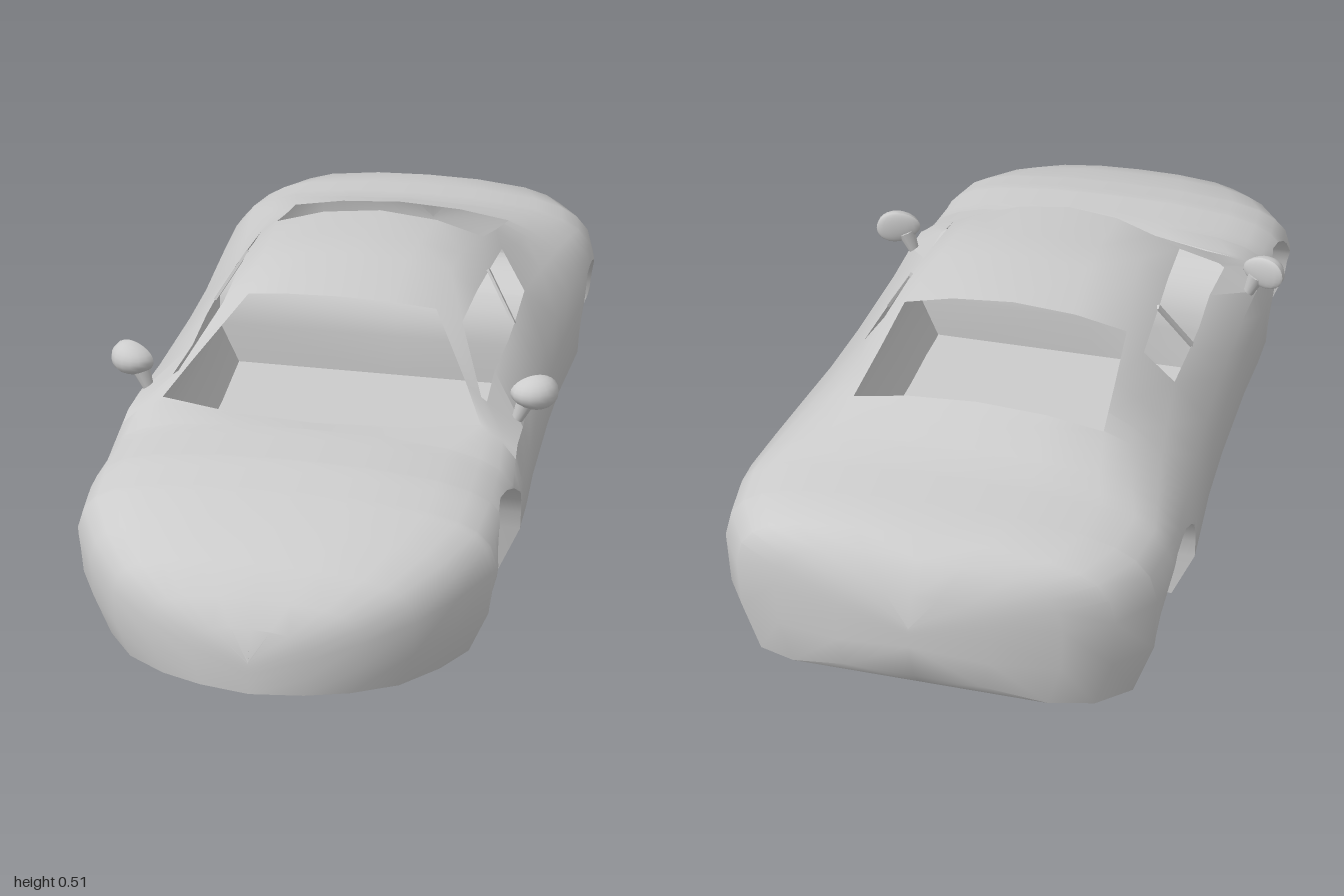
import * as THREE from 'three';
import { toCreasedNormals } from 'three/addons/utils/BufferGeometryUtils.js';

const V = (x, y, z) => new THREE.Vector3(x, y, z);
const paint = new THREE.MeshStandardMaterial({ color: 0xcccccc, side: THREE.DoubleSide });

// Front and rear sections: z, half width, top height, bottom height
const nose = [
  [1, 0, 0.11, 0.04], [0.978, 0.11, 0.165, 0.035], [0.945, 0.2, 0.21, 0.03], [0.885, 0.29, 0.25, 0.02],
  [0.8, 0.36, 0.28, 0.012], [0.7, 0.415, 0.303, 0.004], [0.6, 0.425, 0.32, 0], [0.47, 0.425, 0.325, 0],
];
const tail = [
  [-0.72, 0.445, 0.376, 0], [-0.82, 0.428, 0.367, 0.008], [-0.91, 0.37, 0.357, 0.035],
  [-0.95, 0.28, 0.335, 0.05], [-0.978, 0.15, 0.27, 0.085], [-1, 0, 0.21, 0.15],
];
// Cabin sections: z, half width, centre height, then x and y of opening edge, window top, beltline
const cabin = [
  [0.37, 0.42, 0.32, 0.33, 0.318, 0.35, 0.312, 0.375, 0.3],
  [0.29, 0.42, 0.38, 0.287, 0.368, 0.318, 0.341, 0.33, 0.332],
  [0.15, 0.415, 0.492, 0.2, 0.466, 0.255, 0.442, 0.325, 0.336],
  [0, 0.415, 0.513, 0.205, 0.49, 0.262, 0.448, 0.333, 0.341],
  [-0.1, 0.415, 0.515, 0.212, 0.491, 0.268, 0.446, 0.334, 0.345],
  [-0.265, 0.42, 0.505, 0.235, 0.465, 0.275, 0.432, 0.333, 0.35],
  [-0.4, 0.43, 0.465, 0.245, 0.43, 0.29, 0.397, 0.35, 0.34],
  [-0.54, 0.44, 0.425, 0.255, 0.398, 0.31, 0.375, 0.37, 0.333],
  [-0.66, 0.447, 0.387, 0.275, 0.372, 0.34, 0.353, 0.39, 0.325],
];

// Rounded section running from the top centre down to the sill
const across = [0, 0.34, 0.66, 0.81, 0.9, 0.965, 1, 0.99, 0.9];
const down = [0, 0.01, 0.05, 0.1, 0.16, 0.25, 0.4, 0.7, 1];
const endSection = ([z, w, top, bottom]) => ({
  z, pts: across.map((f, j) => V(f * w, top - down[j] * (top - bottom), 0)),
});

// Cabin section; the z part of each point bows the glass edges
const bow = { 0.37: 0.06, 0.29: 0.045, 0.15: 0.035, '-0.265': -0.012 };
function cabinSection([z, w, top, ex, ey, rx, ry, bx, by]) {
  const d = bow[z] ?? 0, rear = z === -0.265 ? 0.018 : 0;
  return { z, pts: [
    V(0, top, d), V(ex * 0.55, top - (top - ey) * 0.3, d * 0.7), V(ex, ey, 0), V(rx, ry, -rear), V(bx, by, rear),
    V(w - 0.015, 0.282, 0), V(w, 0.225, 0), V(w - 0.003, 0.1, 0), V(w * 0.89, 0, 0),
  ] };
}

const keys = [...nose.map(endSection), ...cabin.map(cabinSection), ...tail.map(endSection)];

function sectionAt(z) {
  let i = 0;
  while (i < keys.length - 2 && z < keys[i + 1].z) i++;
  const a = keys[i], b = keys[i + 1], t = (a.z - z) / (a.z - b.z);
  return a.pts.map((p, j) => p.clone().lerp(b.pts[j], t));
}

// Wheel arches: elliptical tops over short upright walls
const R = 0.165, arches = [0.55, -0.653];
function archHeight(z) {
  for (const c of arches) {
    const d = Math.abs(z - c) / R;
    if (d <= 1.00001) return 0.1 + 0.155 * Math.sqrt(Math.max(0, 1 - d * d));
  }
  return 0;
}

// Lift everything below the arch up to its edge, following the side of the body
function clipSection(pts, h) {
  const k = pts.findIndex((p) => p.y < h);
  if (k < 1) return pts;
  const a = pts[k - 1], b = pts[k];
  const edge = a.clone().lerp(b, (a.y - h) / (a.y - b.y));
  return pts.map((p, j) => (j < k ? p : edge.clone()));
}

function bodyGeometry() {
  const stations = keys.map((k) => ({ z: k.z, h: archHeight(k.z) }));
  for (const c of arches) {
    for (let i = 0; i <= 12; i++) {
      const z = c + R * Math.cos((i / 12) * Math.PI);
      stations.push({ z, h: archHeight(z) });
    }
    stations.push({ z: c + R + 1e-4, h: 0 }, { z: c - R - 1e-4, h: 0 });
  }
  stations.sort((a, b) => b.z - a.z);

  const rows = stations.map(({ z, h }) => {
    const pts = clipSection(sectionAt(z), h);
    pts.forEach((p) => { p.z += z; });
    const sill = pts[pts.length - 1];
    return [...pts, V(0, Math.max(sill.y, h), sill.z)]; // underside centre
  });

  // Windscreen, rear window and side windows stay open
  const open = (z, c) =>
    (c < 2 && ((z < 0.37 && z > 0.15) || (z < -0.265 && z > -0.54))) || (c === 3 && z < 0.29 && z > -0.265);

  const pos = [];
  const tri = (a, b, c) => {
    const area = b.clone().sub(a).cross(c.clone().sub(a)).length();
    if (area < 1e-9) return;
    for (const p of [a, b, c]) pos.push(p.x, p.y, p.z);
    for (const p of [a, c, b]) pos.push(-p.x, p.y, p.z);
  };
  for (let i = 0; i < rows.length - 1; i++) {
    const mid = (stations[i].z + stations[i + 1].z) / 2;
    for (let c = 0; c < rows[i].length - 1; c++) {
      if (open(mid, c)) continue;
      const a = rows[i][c], b = rows[i][c + 1], e = rows[i + 1][c], f = rows[i + 1][c + 1];
      tri(a, b, e);
      tri(b, f, e);
    }
  }
  const geo = new THREE.BufferGeometry();
  geo.setAttribute('position', new THREE.Float32BufferAttribute(pos, 3));
  // Enlarged while creasing so that nearby corners stay distinct
  geo.scale(30, 30, 30);
  const smooth = toCreasedNormals(geo, 0.7);
  smooth.scale(1 / 30, 1 / 30, 1 / 30);
  return smooth;
}

function add(parent, name, geometry) {
  const mesh = new THREE.Mesh(geometry, paint);
  mesh.name = name;
  parent.add(mesh);
  return mesh;
}

// Straight bar between two points
function bar(parent, name, a, b, geometry) {
  const mesh = add(parent, name, geometry);
  mesh.position.copy(a).add(b).multiplyScalar(0.5);
  mesh.quaternion.setFromUnitVectors(V(0, 1, 0), b.clone().sub(a).normalize());
  return mesh;
}

function sideMirror(s) {
  const g = new THREE.Group();
  g.name = s > 0 ? 'leftMirror' : 'rightMirror';
  // Housing bulges forward and is nearly flat behind
  const shell = new THREE.SphereGeometry(1, 16, 12);
  const p = shell.attributes.position;
  for (let i = 0; i < p.count; i++) {
    const x = p.getX(i) * s, z = p.getZ(i);
    p.setXYZ(i, p.getX(i), p.getY(i) * (1 + 0.15 * x), z < 0 ? z * 0.25 : z);
  }
  shell.scale(0.05, 0.036, 0.045);
  shell.computeVertexNormals();
  const housing = add(g, 'mirrorHousing', shell);
  housing.position.set(s * 0.422, 0.349, 0.258);
  housing.rotation.y = s * 0.35;
  const foot = V(s * 0.388, 0.283, 0.27), head = V(s * 0.408, 0.335, 0.268);
  bar(g, 'mirrorStalk', foot, head, new THREE.CylinderGeometry(0.02, 0.011, foot.distanceTo(head), 10));
  return g;
}

export function createModel() {
  const car = new THREE.Group();
  car.name = 'carBody';
  add(car, 'bodyShell', bodyGeometry());
  for (const s of [1, -1]) {
    car.add(sideMirror(s));
    // Slim strut dividing the side window
    const low = V(s * 0.334, 0.343, -0.08), high = V(s * 0.268, 0.448, -0.122);
    bar(car, s > 0 ? 'leftWindowStrut' : 'rightWindowStrut', low, high,
      new THREE.BoxGeometry(0.006, low.distanceTo(high), 0.012));
  }
  return car;
}
